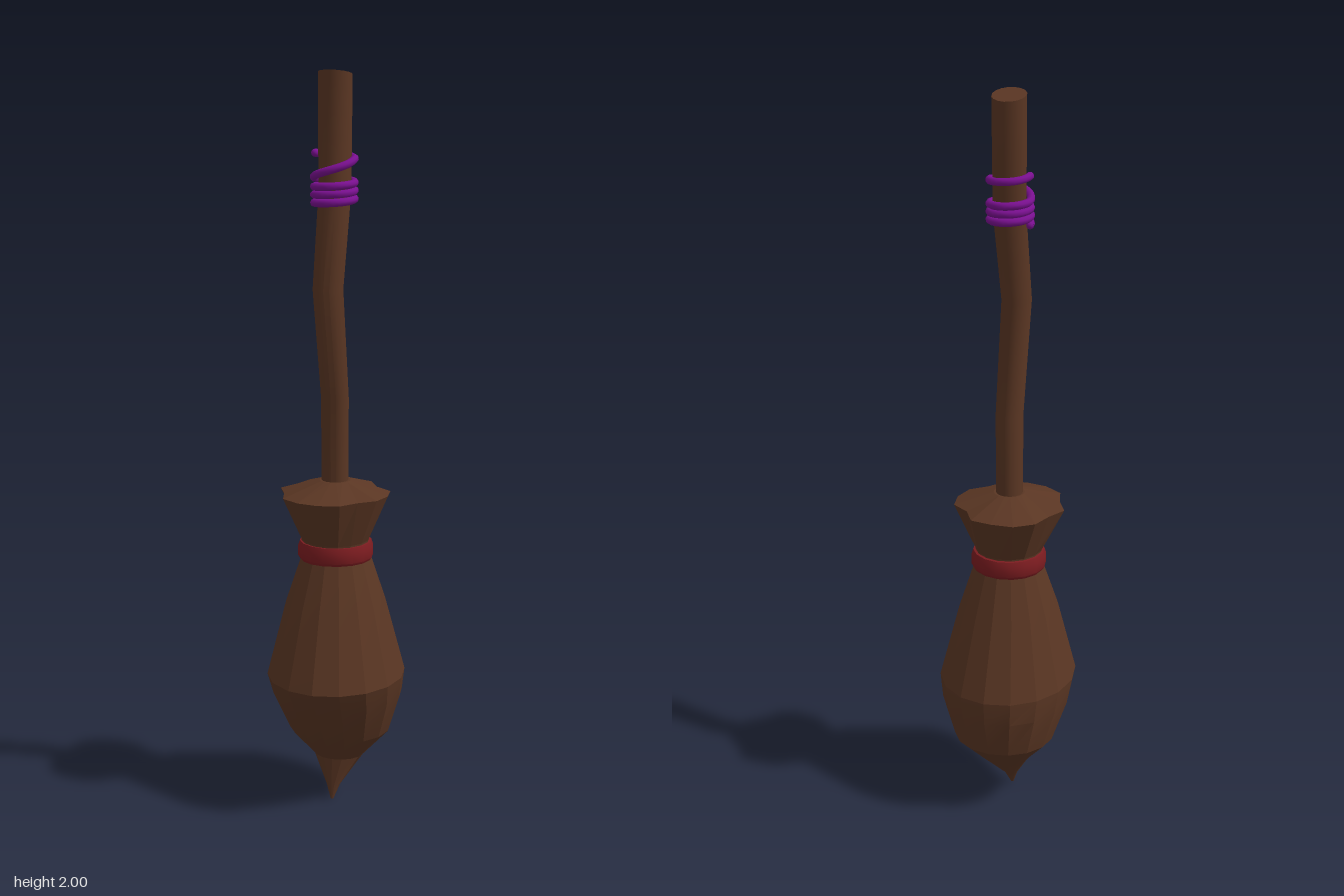
import * as THREE from 'three';
import { toCreasedNormals } from 'three/addons/utils/BufferGeometryUtils.js';

const SIDES = 16;

// Skin a stack of rings, listed from bottom to top, and cap both ends.
// ring: { y, x, z, rx, rz, tilt (rise towards the front), scale (per-side radius factors) }
function loft(rings, crease) {
  const pos = [];
  const point = (r, j) => {
    const a = ((j % SIDES) / SIDES) * Math.PI * 2;
    const k = r.scale ? r.scale[j % SIDES] : 1;
    return [r.x + Math.cos(a) * r.rx * k, r.y + Math.sin(a) * (r.tilt || 0), r.z + Math.sin(a) * r.rz * k];
  };
  const first = rings[0], last = rings[rings.length - 1];
  for (let j = 0; j < SIDES; j++) {
    for (let i = 0; i < rings.length - 1; i++) {
      const a = point(rings[i], j), b = point(rings[i], j + 1);
      const c = point(rings[i + 1], j), d = point(rings[i + 1], j + 1);
      pos.push(...a, ...c, ...b, ...b, ...c, ...d);
    }
    pos.push(first.x, first.y, first.z, ...point(first, j), ...point(first, j + 1));
    pos.push(last.x, last.y, last.z, ...point(last, j + 1), ...point(last, j));
  }
  const g = new THREE.BufferGeometry();
  g.setAttribute('position', new THREE.Float32BufferAttribute(pos, 3));
  g.computeVertexNormals();
  return crease ? toCreasedNormals(g, crease) : g;
}

const ring = ([y, x, z, rx, rz, tilt], scale) => ({ y, x, z, rx, rz, tilt, scale });

export function createModel() {
  const wood = new THREE.MeshStandardMaterial({ color: 0x5a3623 });
  wood.name = 'brown wood';
  const red = new THREE.MeshStandardMaterial({ color: 0x7c1c20 });
  red.name = 'dark red';
  const purple = new THREE.MeshStandardMaterial({ color: 0x7a1090 });
  purple.name = 'purple';

  const model = new THREE.Group();
  model.name = 'broom';
  const add = (name, geometry, material) => {
    const mesh = new THREE.Mesh(geometry, material);
    mesh.name = name;
    model.add(mesh);
  };

  // Crooked handle with a slanted top cut
  add('handle', loft([
    [0.75, -0.006, -0.002, 0.036, 0.036],
    [1.14, -0.006, -0.002, 0.037, 0.036],
    [1.44, -0.006, 0.056, 0.040, 0.040],
    [1.69, -0.006, -0.002, 0.043, 0.042],
    [1.99, -0.006, -0.005, 0.045, 0.043, 0.01],
  ].map((r) => ring(r)), 0.6), wood);

  // Bulging bristles, drawn to a bent tip
  add('bristles', loft([
    [0.005, -0.008, 0.018, 0.004, 0.004],
    [0.045, -0.008, 0.006, 0.019, 0.018],
    [0.125, -0.005, -0.035, 0.069, 0.063],
    [0.20, -0.004, -0.040, 0.139, 0.135],
    [0.31, -0.003, -0.018, 0.176, 0.189],
    [0.375, -0.002, -0.001, 0.186, 0.209],
    [0.58, -0.003, 0, 0.135, 0.141],
    [0.73, -0.003, -0.002, 0.086, 0.086],
  ].map((r) => ring(r)), 0.25), wood);

  // Ragged flare of bristle ends above the band
  const ragged = [0.98, 0.96, 0.86, 0.99, 1.01, 1.03, 1.04, 0.92, 1.04, 0.93, 1.04, 1.06, 1.0, 1.02, 0.84, 0.99];
  add('bristleCrown', loft([
    ring([0.71, -0.004, -0.002, 0.086, 0.086]),
    ring([0.755, -0.004, 0, 0.092, 0.092]),
    ring([0.882, -0.004, 0, 0.150, 0.150], ragged),
    ring([0.917, -0.005, -0.001, 0.042, 0.042]),
  ]), wood);

  // Red binding
  const bandProfile = [[0.08, 0.698], [0.096, 0.699], [0.102, 0.708], [0.102, 0.735], [0.097, 0.75], [0.08, 0.752]]
    .map(([r, y]) => new THREE.Vector2(r, y));
  const band = toCreasedNormals(new THREE.LatheGeometry(bandProfile, SIDES), 0.6);
  band.translate(-0.004, 0, -0.002);
  add('band', band, red);

  // Cord: three tight turns, then one loose turn
  const points = [];
  const TURNS = 4, STEPS = 16;
  for (let i = 0; i <= TURNS * STEPS; i++) {
    const t = i / STEPS;
    const a = Math.PI - t * Math.PI * 2;
    let y = 1.658 + Math.min(t, 3) * 0.021;
    if (t > 3) y += t < 3.5 ? (t - 3) * 0.1 : 0.05 + (t - 3.5) * 0.03;
    points.push(new THREE.Vector3(-0.006 + Math.cos(a) * 0.053, y, 0.003 + Math.sin(a) * 0.053));
  }
  const coil = new THREE.CatmullRomCurve3(points);
  add('cord', new THREE.TubeGeometry(coil, 96, 0.0105, 8), purple);
  // Rounded cord ends
  for (const p of [points[0], points[points.length - 1]]) {
    const end = new THREE.SphereGeometry(0.0105, 8, 6);
    end.translate(p.x, p.y, p.z);
    add('cordEnd', end, purple);
  }

  return model;
}
